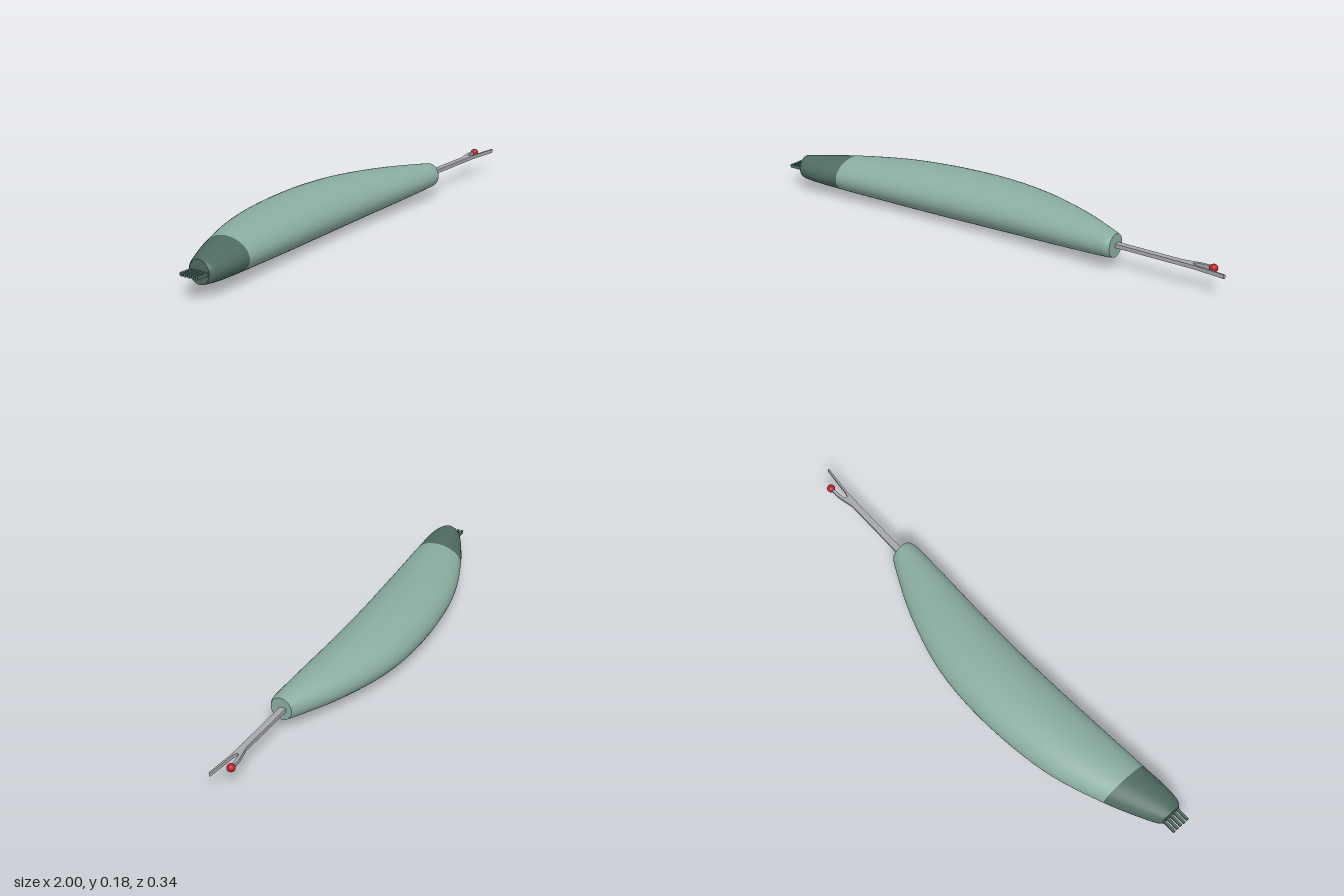
import * as THREE from 'three';

const MID_Y = 0.094;
const SIDES = 48;

const mat = (name, color) => {
  const m = new THREE.MeshStandardMaterial({ color });
  m.name = name;
  return m;
};

// Curved grip lofted from elliptical sections; groups: 0 = dark end, 1 = light body
function gripGeometry() {
  // x, back edge z, front edge z
  const outline = [
    [-0.945, 0.06, 0.148], [-0.93, 0.046, 0.16], [-0.88, 0.018, 0.167], [-0.74, -0.048, 0.16],
    [-0.5, -0.13, 0.143], [-0.17, -0.168, 0.124], [0.08, -0.152, 0.119], [0.32, -0.083, 0.121],
    [0.47, -0.015, 0.121], [0.515, 0.008, 0.119], [0.535, 0.022, 0.11],
  ];
  const bandIndex = 3, steps = 6;
  const curve = new THREE.CatmullRomCurve3(outline.map((p) => new THREE.Vector3(...p)));
  const count = (outline.length - 1) * steps;
  const pos = [], index = [];

  const addRing = (p) => {
    const start = pos.length / 3;
    const u = (p.x + 0.205) / 0.74;
    const ry = 0.092 - 0.046 * u * u;
    for (let j = 0; j < SIDES; j++) {
      const a = (j / SIDES) * Math.PI * 2;
      pos.push(p.x, MID_Y + ry * Math.sin(a), (p.y + p.z) / 2 + ((p.z - p.y) / 2) * Math.cos(a));
    }
    return start;
  };
  const addCap = (p, facing) => {
    const ring = addRing(p);
    const centre = pos.length / 3;
    pos.push(p.x, MID_Y, (p.y + p.z) / 2);
    for (let j = 0; j < SIDES; j++) {
      const a = ring + j, b = ring + (j + 1) % SIDES;
      index.push(centre, ...(facing > 0 ? [b, a] : [a, b]));
    }
  };

  addCap(curve.getPoint(0), -1);
  const first = pos.length / 3;
  for (let i = 0; i <= count; i++) addRing(curve.getPoint(i / count));
  let split = 0;
  for (let i = 0; i < count; i++) {
    if (i === bandIndex * steps) split = index.length;
    for (let j = 0; j < SIDES; j++) {
      const k = (j + 1) % SIDES, a = first + i * SIDES, b = a + SIDES;
      index.push(a + j, b + j, a + k, a + k, b + j, b + k);
    }
  }
  addCap(curve.getPoint(1), 1);

  const geo = new THREE.BufferGeometry();
  geo.setAttribute('position', new THREE.Float32BufferAttribute(pos, 3));
  geo.setIndex(index);
  geo.addGroup(0, split, 0);
  geo.addGroup(split, index.length - split, 1);
  geo.computeVertexNormals();
  return geo;
}

// Flat forked blade, drawn as x and -z, then laid down
function forkGeometry(thickness) {
  const s = new THREE.Shape();
  s.moveTo(0.5, -0.071);
  s.lineTo(0.87, -0.071);
  s.lineTo(0.995, -0.083);
  s.lineTo(1.0, -0.08);
  s.lineTo(0.995, -0.076);
  s.lineTo(0.9, -0.066);
  s.bezierCurveTo(0.84, -0.064, 0.84, -0.045, 0.89, -0.042);
  s.lineTo(0.93, -0.038);
  s.lineTo(0.93, -0.029);
  s.lineTo(0.885, -0.03);
  s.quadraticCurveTo(0.85, -0.036, 0.81, -0.046);
  s.lineTo(0.5, -0.046);
  s.closePath();
  const geo = new THREE.ExtrudeGeometry(s, { depth: thickness, bevelEnabled: false, curveSegments: 12 });
  geo.rotateX(-Math.PI / 2);
  geo.translate(0, MID_Y - thickness / 2, 0);
  return geo;
}

export function createModel() {
  const group = new THREE.Group();
  group.name = 'seamRipper';
  const light = mat('sage green', 0x8aaca0);
  const dark = mat('dark green', 0x4f6b62);
  const steel = mat('steel grey', 0xa6a6ad);
  const red = mat('red', 0xb5222c);

  const add = (name, geo, material) => {
    const mesh = new THREE.Mesh(geo, material);
    mesh.name = name;
    group.add(mesh);
    return mesh;
  };

  add('grip', gripGeometry(), [dark, light]);
  add('forkedBlade', forkGeometry(0.015), steel);
  add('safetyBall', new THREE.SphereGeometry(0.016, 24, 16), red).position.set(0.928, MID_Y, 0.035);

  // Row of short teeth on the dark end
  for (let i = 0; i < 5; i++) {
    const tooth = add('tooth' + (i + 1), new THREE.BoxGeometry(0.075, 0.013, 0.01), dark);
    tooth.position.set(-0.9625, MID_Y, 0.07 + i * 0.0172);
  }
  return group;
}
